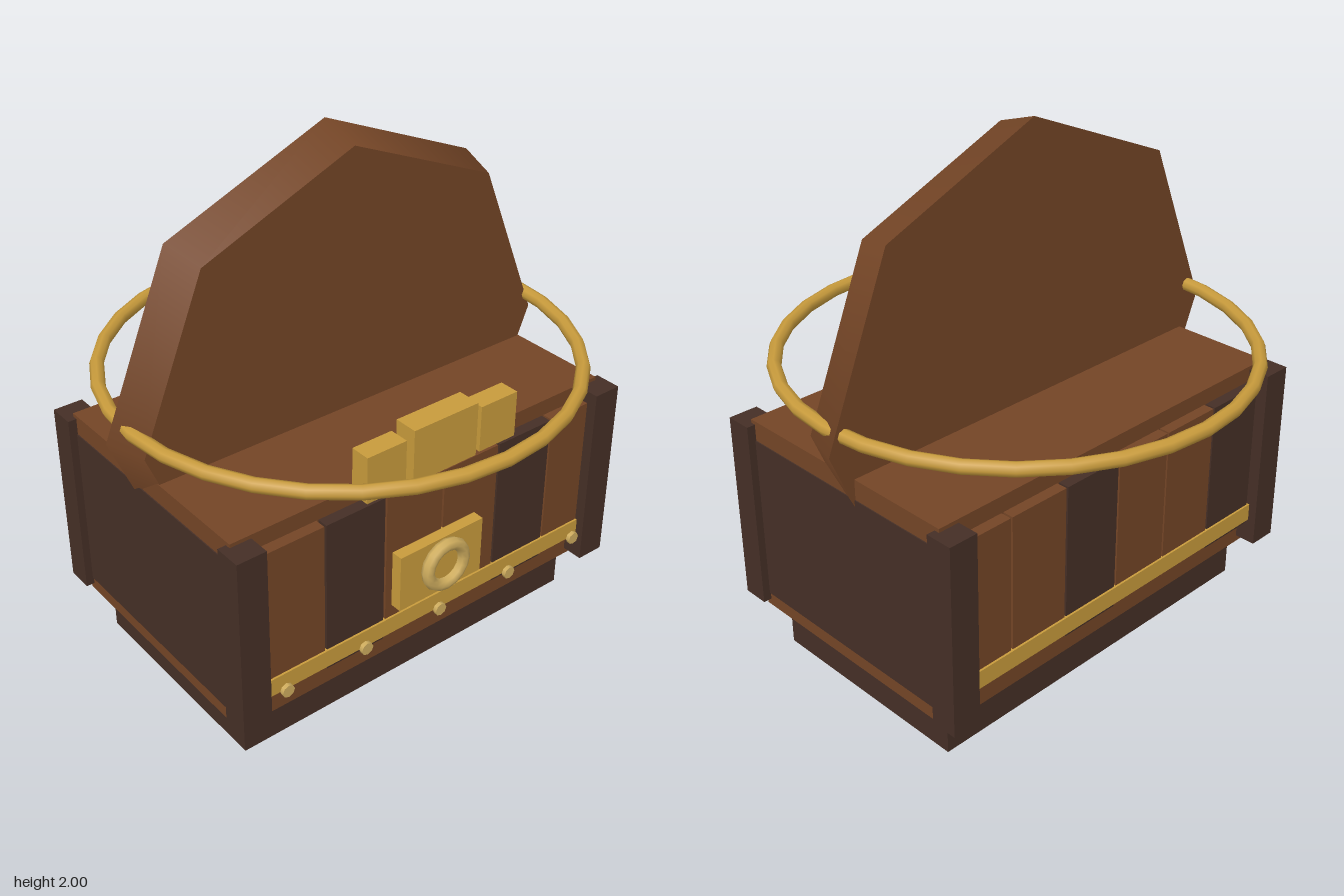
import * as THREE from 'three';

const material = (name, color) => {
  const m = new THREE.MeshStandardMaterial({ color });
  m.name = name;
  return m;
};

export function createModel() {
  const wood = material('brown wood', 0x744526);
  const dark = material('dark wood', 0x452f26);
  const brass = material('brass', 0xc89b3c);
  const paleBrass = material('pale brass', 0xcfad5e);
  const chest = new THREE.Group();
  chest.name = 'chest';

  const add = (name, geometry, mat, x = 0, y = 0, z = 0) => {
    const mesh = new THREE.Mesh(geometry, mat);
    mesh.name = name;
    mesh.position.set(x, y, z);
    chest.add(mesh);
    return mesh;
  };
  // Box given by its limits on each axis
  const block = (name, mat, [x0, x1], [y0, y1], [z0, z1]) =>
    add(name, new THREE.BoxGeometry(x1 - x0, y1 - y0, z1 - z0), mat,
      (x0 + x1) / 2, (y0 + y1) / 2, (z0 + z1) / 2);

  // Plinth and body
  block('base', dark, [-0.765, 0.765], [0, 0.2], [-0.435, 0.435]);
  block('body', wood, [-0.825, 0.825], [0.18, 0.963], [-0.49, 0.49]);

  for (const s of [-1, 1]) {
    // Dark side panels and corner posts
    add('sidePanel', new THREE.BoxGeometry(0.04, 0.65, 0.96), dark, s * 0.809, 0.56, 0);
    for (const t of [-1, 1]) {
      add('cornerPost', new THREE.BoxGeometry(0.115, 0.742, 0.105), dark, s * 0.8, 0.578, t * 0.522);
    }
    // Upright planks on the front and back
    const darkPlanks = s > 0 ? [1, 4] : [0, 3];
    for (let i = 0; i < 6; i++) {
      add('plank', new THREE.BoxGeometry(0.25, 0.61, 0.07), darkPlanks.includes(i) ? dark : wood,
        -0.61 + i * 0.2585, 0.595, s * 0.498);
    }
    // Brass strap
    add('strap', new THREE.BoxGeometry(1.49, 0.07, 0.08), brass, 0, 0.34, s * 0.501);
  }

  // Strap rivets
  for (let i = -2; i <= 2; i++) {
    add('rivet', new THREE.CylinderGeometry(0.025, 0.025, 0.016, 8), paleBrass, i * 0.34, 0.34, 0.579)
      .rotation.x = Math.PI / 2;
  }

  // Lock plate with a round keyhole collar
  block('lockPlate', brass, [-0.19, 0.19], [0.425, 0.655], [0.525, 0.578]);
  add('lockCollar', new THREE.TorusGeometry(0.083, 0.024, 8, 16), paleBrass, 0, 0.555, 0.6);
  add('lockCentre', new THREE.CylinderGeometry(0.065, 0.065, 0.02, 12), brass, 0, 0.555, 0.585)
    .rotation.x = Math.PI / 2;

  // Hasp blocks on the front rim
  block('hasp', brass, [-0.14, 0.143], [0.94, 1.15], [0.48, 0.572]);
  block('haspSide', brass, [-0.333, -0.167], [0.94, 1.12], [0.487, 0.565]);
  block('haspSide', brass, [0.167, 0.333], [0.94, 1.12], [0.487, 0.565]);

  // Eight-sided lid standing open, tapering to the front
  add('lid', new THREE.CylinderGeometry(0.87, 0.92, 0.16, 8), wood, 0, 1.08, 0)
    .rotation.x = Math.PI / 2;

  // Level brass hoop
  add('hoop', new THREE.TorusGeometry(0.863, 0.026, 8, 32), brass, 0, 1.137, 0)
    .rotation.x = Math.PI / 2;

  return chest;
}
